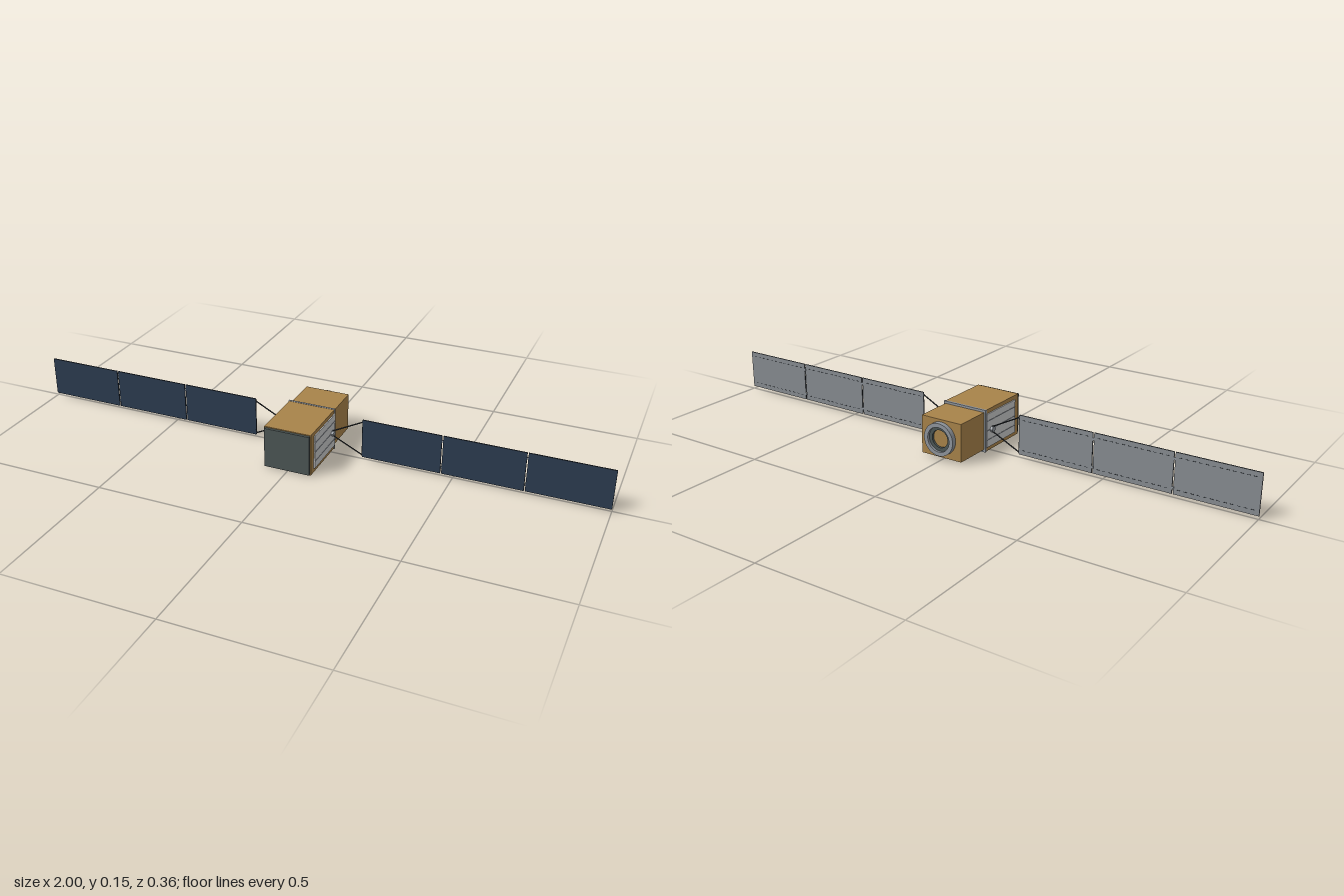
import * as THREE from 'three';

const mat = (name, color, side = THREE.FrontSide) => {
  const m = new THREE.MeshStandardMaterial({ color, side });
  m.name = name;
  return m;
};

export function createModel() {
  const gold = mat('gold foil', 0xa8834a);
  const navy = mat('solar cell navy', 0x2c3c50);
  const backing = mat('panel backing grey', 0x868b90);
  const dark = mat('dark frame', 0x23282d);
  const slate = mat('front plate slate', 0x4c5655);
  const silver = mat('radiator silver', 0xc8c9ca);
  const metal = mat('metal grey', 0x8f959c);

  const model = new THREE.Group();
  model.name = 'satellite';
  const midY = 0.074, wingZ = 0.003;

  const add = (parent, name, geometry, material, x = 0, y = 0, z = 0) => {
    const mesh = new THREE.Mesh(geometry, material);
    mesh.name = name;
    mesh.position.set(x, y, z);
    parent.add(mesh);
    return mesh;
  };
  // Box given by its minimum and maximum corners
  const box = (parent, name, material, [x0, y0, z0], [x1, y1, z1]) =>
    add(parent, name, new THREE.BoxGeometry(x1 - x0, y1 - y0, z1 - z0), material,
      (x0 + x1) / 2, (y0 + y1) / 2, (z0 + z1) / 2);
  // Thin rod between two points
  const rod = (parent, name, a, b, r) => {
    const p = new THREE.Vector3(...a), q = new THREE.Vector3(...b);
    const dir = q.clone().sub(p);
    const mesh = add(parent, name, new THREE.CylinderGeometry(r, r, dir.length(), 6), dark);
    mesh.position.copy(p).add(q).multiplyScalar(0.5);
    mesh.quaternion.setFromUnitVectors(new THREE.Vector3(0, 1, 0), dir.normalize());
  };
  // Flat-faced ring around the z axis
  const ring = (name, material, inner, outer, z0, z1) => {
    const shape = new THREE.Shape().absarc(0, 0, outer, 0, Math.PI * 2);
    shape.holes.push(new THREE.Path().absarc(0, 0, inner, 0, Math.PI * 2, true));
    const g = new THREE.ExtrudeGeometry(shape, { depth: z1 - z0, bevelEnabled: false, curveSegments: 28 });
    add(model, name, g, material, 0, midY + 0.001, z0);
  };

  // Body: payload module, service module, collar and front plate
  box(model, 'mainBody', gold, [-0.081, 0.001, -0.026], [0.081, 0.146, 0.17]);
  box(model, 'rearBody', gold, [-0.077, 0.009, -0.161], [0.077, 0.139, -0.026]);
  box(model, 'collar', metal, [-0.083, 0, -0.031], [0.083, 0.147, -0.023]);
  box(model, 'frontPlate', slate, [-0.078, 0.005, 0.17], [0.078, 0.143, 0.179]);

  // Rear docking rings
  ring('rearRing', metal, 0.042, 0.056, -0.178, -0.16);
  ring('innerRing', slate, 0.03, 0.042, -0.169, -0.16);

  for (const s of [1, -1]) {
    const side = new THREE.Group();
    side.name = s > 0 ? 'leftSide' : 'rightSide';
    // The right side is the left one mirrored by a half turn of the positions
    const sBox = (name, material, [x0, y0, z0], [x1, y1, z1]) =>
      box(side, name, material, s > 0 ? [x0, y0, z0] : [-x1, y0, z0], s > 0 ? [x1, y1, z1] : [-x0, y1, z1]);

    // Radiator with seam lines
    sBox('radiator', silver, [0.08, 0.015, -0.024], [0.085, 0.132, 0.146]);
    for (const y of [0.041, 0.074, 0.107])
      sBox('radiatorSeam', metal, [0.085, y - 0.0012, -0.024], [0.0862, y + 0.0012, 0.144]);

    // Wing hub and yoke
    const hub = add(side, 'wingHub', new THREE.CylinderGeometry(0.0105, 0.0105, 0.014, 6).toNonIndexed(), metal,
      s * 0.087, midY, wingZ);
    hub.geometry.computeVertexNormals();
    hub.rotation.z = Math.PI / 2;
    for (const v of [1, -1])
      rod(side, 'yokeStrut', [s * 0.087, midY + v * 0.008, wingZ], [s * 0.193, midY + 0.002 + v * 0.061, wingZ], 0.0022);
    rod(side, 'yokeBar', [s * 0.192, 0.011, wingZ], [s * 0.192, 0.143, wingZ], 0.0018);

    // Solar panels: cells in front, grey backing with stitched seams behind
    for (let i = 0; i < 3; i++) {
      const x0 = 0.192 + i * 0.2707, x1 = x0 + 0.2666;
      sBox('solarPanel', [dark, dark, dark, dark, navy, backing],
        [x0, 0.009, wingZ - 0.002], [x1, 0.145, wingZ + 0.002]);
      for (const y of [0.025, 0.129])
        for (let k = 0; k < 12; k++) {
          const dx = x0 + 0.012 + k * 0.0208;
          sBox('backStitch', dark, [dx, y - 0.0008, wingZ - 0.0026], [dx + 0.011, y + 0.0008, wingZ - 0.002]);
        }
      // Hinges to the next panel
      if (i < 2) for (const y of [0.03, 0.124])
        sBox('panelHinge', metal, [x1 - 0.002, y - 0.004, wingZ - 0.003], [x1 + 0.006, y + 0.004, wingZ - 0.001]);
    }
    model.add(side);
  }
  return model;
}
